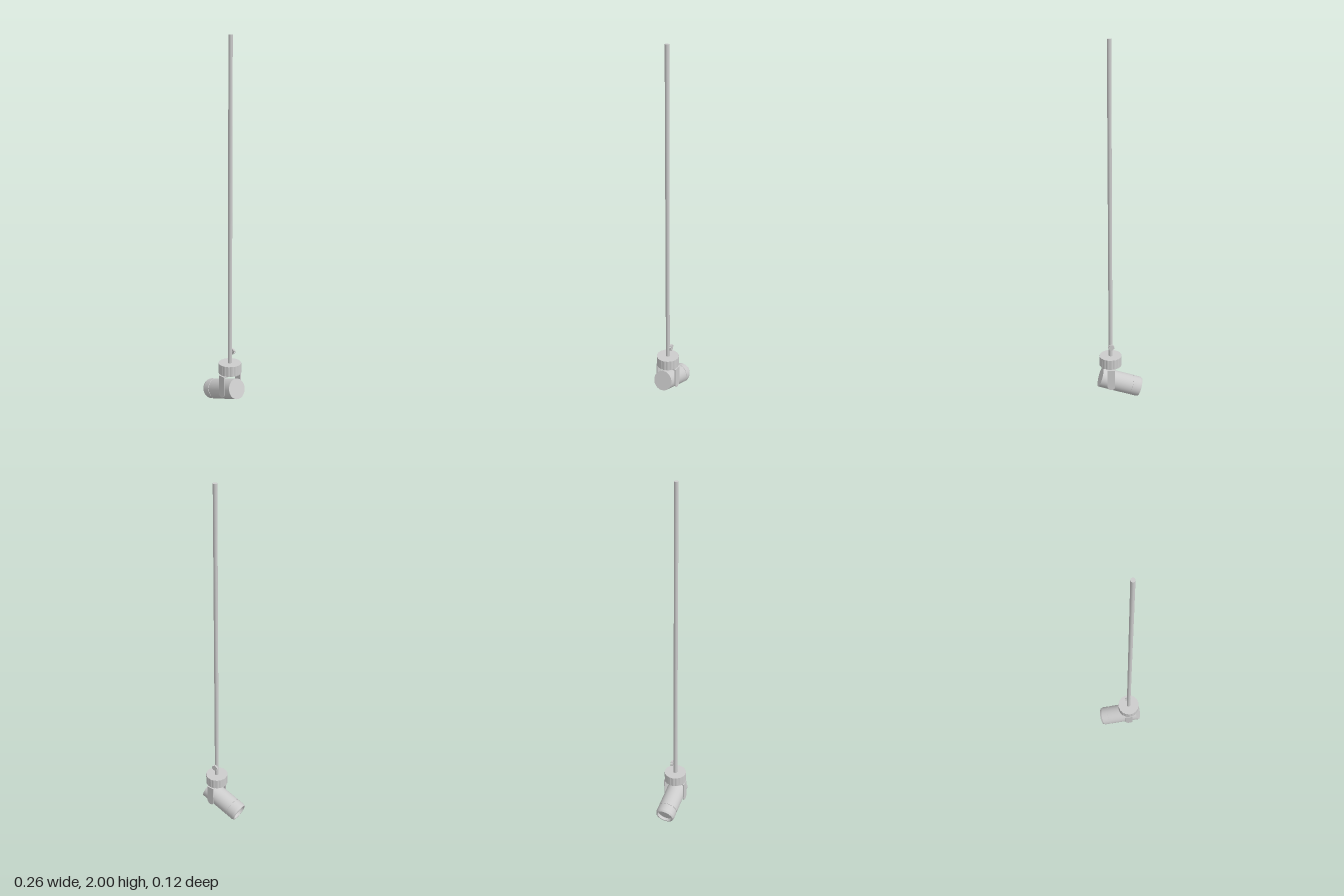
import * as THREE from 'three';

const material = new THREE.MeshStandardMaterial({ color: 0xcccccc });
const PIVOT_X = 0.052;

function add(parent, name, geometry, x = 0, y = 0, z = 0) {
  const mesh = new THREE.Mesh(geometry, material);
  mesh.name = name;
  mesh.position.set(x, y, z);
  parent.add(mesh);
  return mesh;
}

// Lathe with hard edges: each profile segment gets its own smooth band
function addTurned(parent, name, profile, segments = 48) {
  const part = new THREE.Group();
  part.name = name;
  for (let i = 0; i < profile.length - 1; i++) {
    const points = [profile[i], profile[i + 1]].map(([r, y]) => new THREE.Vector2(r, y));
    add(part, name + 'Band', new THREE.LatheGeometry(points, segments));
  }
  parent.add(part);
  return part;
}

// Disc with a gently lobed edge, extruded along z
function lobedDisc(radius, depth, lobes, wave) {
  const points = [];
  const n = lobes * 6;
  for (let i = 0; i < n; i++) {
    const a = (i / n) * Math.PI * 2;
    const r = radius - wave * (1 - Math.abs(Math.sin((a * lobes) / 2)));
    points.push(new THREE.Vector2(r * Math.cos(a), r * Math.sin(a)));
  }
  return new THREE.ExtrudeGeometry(new THREE.Shape(points), { depth, bevelEnabled: false });
}

export function createModel() {
  const model = new THREE.Group();
  model.name = 'hangingSpotlight';

  // Suspension rod, running through the canopy down to the yoke
  add(model, 'rod', new THREE.CylinderGeometry(0.011, 0.011, 1.806, 24), PIVOT_X, 1.097, 0);

  // Round housing with a lobed rim
  const housing = add(model, 'housing', lobedDisc(0.0625, 0.057, 18, 0.002), PIVOT_X, 0.205, 0);
  housing.rotation.x = -Math.PI / 2;

  // Thumbscrew on the back of the rod
  const screw = new THREE.Group();
  screw.name = 'thumbscrew';
  screw.position.set(PIVOT_X, 0.322, 0);
  screw.rotation.y = 0.12;
  add(screw, 'thumbscrewHead', lobedDisc(0.0175, 0.012, 10, 0.003), 0, 0, -0.026);
  const stem = add(screw, 'thumbscrewStem', new THREE.CylinderGeometry(0.005, 0.005, 0.014, 12), 0, 0, -0.009);
  stem.rotation.x = Math.PI / 2;
  model.add(screw);

  // Yoke: top bar and two arms with rounded lower ends
  const yoke = new THREE.Group();
  yoke.name = 'yoke';
  yoke.position.x = PIVOT_X;
  const w = 0.021, top = 0.199, low = 0.096;
  add(yoke, 'yokeBar', new THREE.BoxGeometry(w * 2, 0.006, 0.125), 0, top - 0.003, 0);
  const armShape = new THREE.Shape();
  armShape.moveTo(w, top);
  armShape.lineTo(-w, top);
  armShape.lineTo(-w, low);
  armShape.absarc(0, low, w, Math.PI, Math.PI * 2, false);
  armShape.lineTo(w, top);
  const arm = new THREE.ExtrudeGeometry(armShape, { depth: 0.006, bevelEnabled: false, curveSegments: 16 });
  for (const z of [0.0565, -0.0625]) add(yoke, 'yokeArm', arm, 0, 0, z);
  model.add(yoke);

  // Pivot pin joining the arms through the lamp body
  const pin = add(model, 'pivotPin', new THREE.CylinderGeometry(0.008, 0.008, 0.122, 16), PIVOT_X, 0.108, 0);
  pin.rotation.x = Math.PI / 2;

  // Tilted lamp body: local y runs from the open mouth to the closed back
  const lamp = new THREE.Group();
  lamp.name = 'lamp';
  lamp.position.set(-0.1125, 0.0525, 0);
  lamp.rotation.z = -Math.PI / 2 + 0.324;
  addTurned(lamp, 'barrel', [
    [0, 0.016], [0.043, 0.016], [0.045, 0], [0.051, 0], [0.0555, 0.011],
    [0.0555, 0.052], [0.053, 0.052], [0.053, 0.056], [0.0555, 0.056],
    [0.0555, 0.234], [0, 0.234],
  ]);
  model.add(lamp);

  return model;
}
